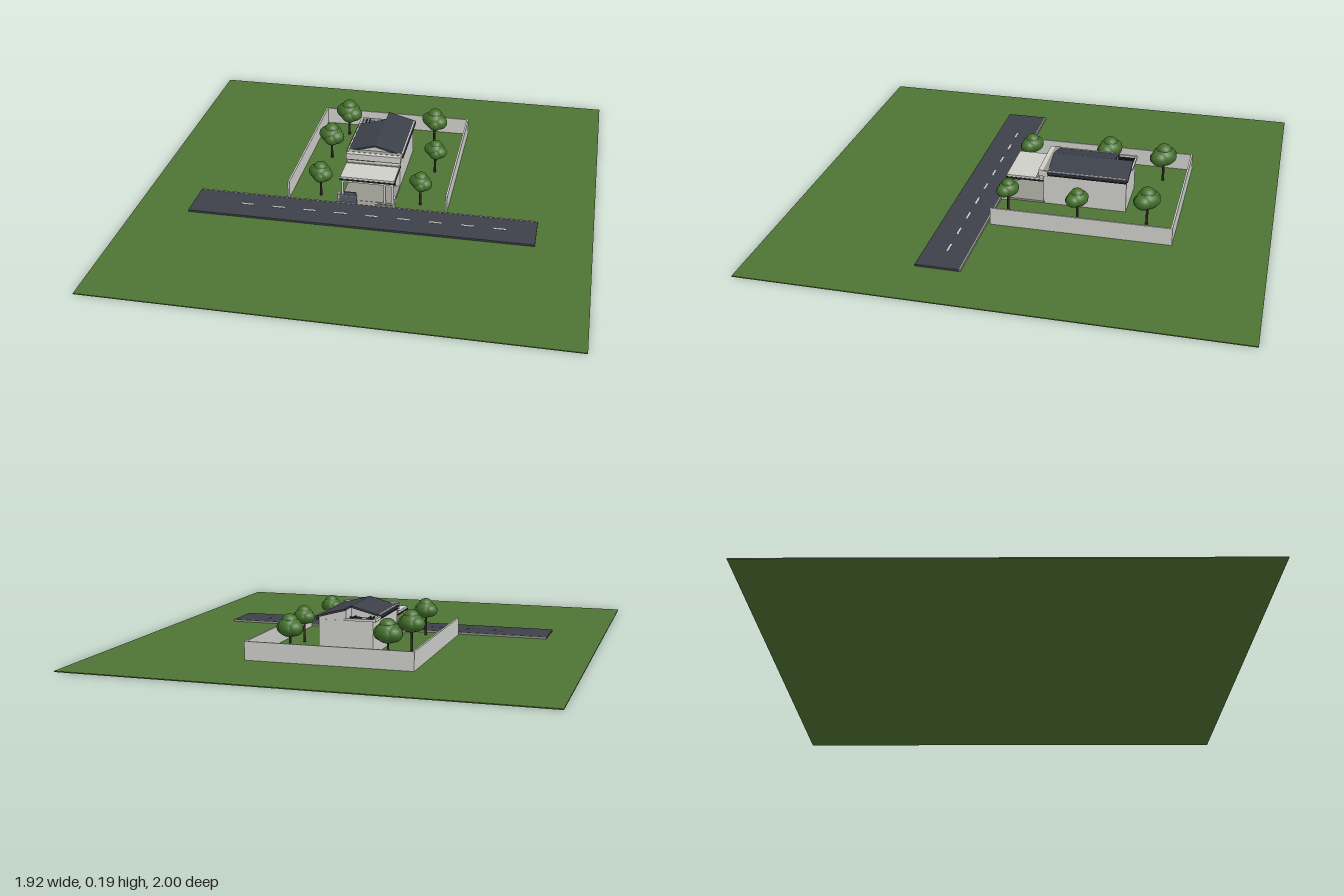
import * as THREE from 'three';

const mat = (name, color, side = THREE.FrontSide) => {
  const m = new THREE.MeshStandardMaterial({ color, side });
  m.name = name;
  return m;
};

export function createModel() {
  const root = new THREE.Group();
  root.name = 'houseAndGarden';
  const grass = mat('grass green', 0x4e7434);
  const asphalt = mat('asphalt', 0x3d404a);
  const plaster = mat('pale plaster', 0xcfcfca);
  const grey = mat('grey concrete', 0x96968f);
  const slate = mat('roof slate', 0x3c4049);
  const blue = mat('blue grey cladding', 0x515967);
  const dark = mat('dark metal', 0x24272d);
  const glass = mat('pale glass', 0xc3d0cf);
  const leaf = mat('leaf green', 0x44702c);
  const bark = mat('bark', 0x30271f);

  const add = (parent, name, geometry, material) => {
    const m = new THREE.Mesh(geometry, material);
    m.name = name;
    parent.add(m);
    return m;
  };
  // Box given by its minimum and maximum on each axis
  const box = (parent, name, material, x0, x1, y0, y1, z0, z1) => {
    const m = add(parent, name, new THREE.BoxGeometry(x1 - x0, y1 - y0, z1 - z0), material);
    m.position.set((x0 + x1) / 2, (y0 + y1) / 2, (z0 + z1) / 2);
    return m;
  };
  // Cross-section in x and y, extruded from z0 to z1
  const prism = (parent, name, material, points, z0, z1) => {
    const shape = new THREE.Shape(points.map(([x, y]) => new THREE.Vector2(x, y)));
    const g = new THREE.ExtrudeGeometry(shape, { depth: z1 - z0, bevelEnabled: false });
    add(parent, name, g, material).position.z = z0;
  };

  // Lawn, road and lane dashes
  box(root, 'lawn', grass, -0.96, 0.96, 0, 0.004, -1, 1);
  box(root, 'road', asphalt, -0.73, 0.73, 0.004, 0.012, 0.16, 0.34);
  box(root, 'kerb', grey, -0.73, 0.73, 0.004, 0.013, 0.154, 0.16);
  for (let i = 0; i < 9; i++) {
    const x = -0.495 + i * 0.1345;
    box(root, 'laneDash', plaster, x - 0.027, x + 0.027, 0.012, 0.0135, 0.241, 0.249);
  }

  // Boundary walls on three sides
  const walls = new THREE.Group();
  walls.name = 'boundaryWalls';
  root.add(walls);
  for (const s of [-1, 1]) {
    box(walls, 'sideWall', plaster, s * 0.342 - 0.004, s * 0.342 + 0.004, 0.004, 0.08, -0.614, 0.142);
  }
  box(walls, 'backWall', plaster, -0.338, 0.338, 0.004, 0.08, -0.614, -0.606);

  // House body with a gable; the rear corner on the right stays open
  const house = new THREE.Group();
  house.name = 'house';
  root.add(house);
  box(house, 'body', plaster, -0.115, 0.115, 0.004, 0.142, -0.387, -0.035);
  prism(house, 'gableLeft', plaster, [[0, 0.142], [0.115, 0.142], [0.115, 0.151], [0, 0.183]], -0.385, -0.055);
  prism(house, 'gableRight', plaster, [[0, 0.142], [0, 0.183], [-0.115, 0.151], [-0.115, 0.142]], -0.31, -0.055);
  prism(house, 'roofLeft', slate, [[0, 0.182], [0.127, 0.148], [0.127, 0.156], [0, 0.19]], -0.395, -0.05);
  prism(house, 'roofRight', slate, [[0, 0.182], [0, 0.19], [-0.127, 0.156], [-0.127, 0.148]], -0.317, -0.05);
  for (const s of [-1, 1]) {
    const x = s * 0.12;
    box(house, 'eaveLine', dark, x - 0.005, x + 0.005, 0.14, 0.145, -0.39, -0.05);
    box(house, 'gutter', plaster, x - 0.003, x + 0.003, 0.15, 0.16, s < 0 ? -0.317 : -0.385, -0.05);
  }

  // Rear roof terrace with low parapet and rafters
  box(house, 'terraceFloor', grey, -0.115, 0, 0.142, 0.144, -0.385, -0.317);
  box(house, 'terraceSide', plaster, -0.127, -0.117, 0.142, 0.154, -0.395, -0.317);
  box(house, 'terraceBack', plaster, -0.127, 0, 0.142, 0.152, -0.395, -0.387);
  for (const x of [-0.1, -0.085, -0.022]) {
    box(house, 'rafter', dark, x - 0.002, x + 0.002, 0.146, 0.152, -0.387, -0.317);
  }
  box(house, 'terraceBeam', dark, -0.055, -0.005, 0.146, 0.152, -0.35, -0.345);

  // Front parapet and facade
  box(house, 'frontParapet', plaster, -0.12, 0.12, 0.134, 0.162, -0.05, -0.01);
  box(house, 'parapetCap', grey, -0.123, 0.123, 0.158, 0.163, -0.053, -0.03);
  box(house, 'facadeCladding', blue, -0.113, 0.005, 0.012, 0.128, -0.035, -0.027);
  box(house, 'facadePanel', plaster, 0.005, 0.113, 0.012, 0.128, -0.035, -0.03);
  box(house, 'windowFrame', dark, -0.092, -0.042, 0.042, 0.086, -0.027, -0.025);
  box(house, 'windowPane', glass, -0.088, -0.046, 0.046, 0.082, -0.025, -0.023);
  box(house, 'doorFrame', dark, 0.005, 0.042, 0.012, 0.108, -0.03, -0.026);
  box(house, 'doorLeaf', plaster, 0.009, 0.026, 0.014, 0.09, -0.026, -0.023);
  box(house, 'panelGroove', dark, 0.058, 0.061, 0.012, 0.12, -0.03, -0.027);
  box(house, 'panelGroove', dark, 0.092, 0.095, 0.012, 0.12, -0.03, -0.027);

  // Porch: floor, canopy, posts and low front fence
  const porch = new THREE.Group();
  porch.name = 'porch';
  root.add(porch);
  box(porch, 'porchFloor', grey, -0.115, 0.115, 0.004, 0.012, -0.03, 0.125);
  box(porch, 'path', grey, -0.05, 0.05, 0.004, 0.011, 0.125, 0.154);
  box(porch, 'canopyTop', plaster, -0.117, 0.117, 0.114, 0.123, -0.03, 0.13);
  box(porch, 'canopySoffit', dark, -0.119, 0.119, 0.107, 0.114, -0.03, 0.132);
  box(porch, 'canopyBeam', plaster, -0.114, 0.114, 0.097, 0.107, 0.116, 0.126);
  box(porch, 'canopyRidge', grey, -0.117, 0.117, 0.123, 0.126, -0.012, 0.002);
  for (const x of [-0.108, 0.075, 0.108]) {
    box(porch, 'post', plaster, x - 0.005, x + 0.005, 0.012, 0.107, 0.115, 0.125);
  }
  box(porch, 'porchLowWall', blue, -0.113, -0.05, 0.012, 0.045, 0.115, 0.122);
  box(porch, 'frontFence', blue, -0.12, -0.04, 0.004, 0.043, 0.147, 0.153);
  box(porch, 'fenceCap', grey, -0.122, -0.038, 0.043, 0.047, 0.146, 0.154);
  for (const x of [-0.12, 0.12]) {
    box(porch, 'gatePost', plaster, x - 0.004, x + 0.004, 0.004, 0.05, 0.125, 0.153);
  }
  box(porch, 'frontKerb', plaster, 0.04, 0.12, 0.004, 0.016, 0.147, 0.153);

  // Trees: trunk and clustered crowns as [x, y, z, radius] in crown radii
  const blobs = [
    [0, 0, 0, 0.82], [0.02, 0.42, 0, 0.55], [-0.38, -0.05, -0.22, 0.62],
    [0.38, -0.08, 0.25, 0.64], [0.1, -0.2, 0.4, 0.58], [-0.1, -0.1, -0.32, 0.55]
  ];
  const trees = [
    [-0.21, -0.5, 0.063], [0.2, -0.49, 0.06], [-0.24, -0.255, 0.06],
    [0.245, -0.205, 0.051], [-0.21, 0.095, 0.054], [0.225, 0.095, 0.05]
  ];
  for (const [x, z, r] of trees) {
    const tree = new THREE.Group();
    tree.name = 'tree';
    tree.position.set(x, 0, z);
    root.add(tree);
    const cy = 0.076 + r * 0.8;
    add(tree, 'trunk', new THREE.CylinderGeometry(0.004, 0.006, cy, 8), bark).position.y = cy / 2;
    for (const [bx, by, bz, br] of blobs) {
      const b = add(tree, 'crown', new THREE.SphereGeometry(br * r, 16, 12), leaf);
      b.scale.y = 0.85;
      b.position.set(bx * r, cy + by * r, bz * r);
    }
  }
  return root;
}
